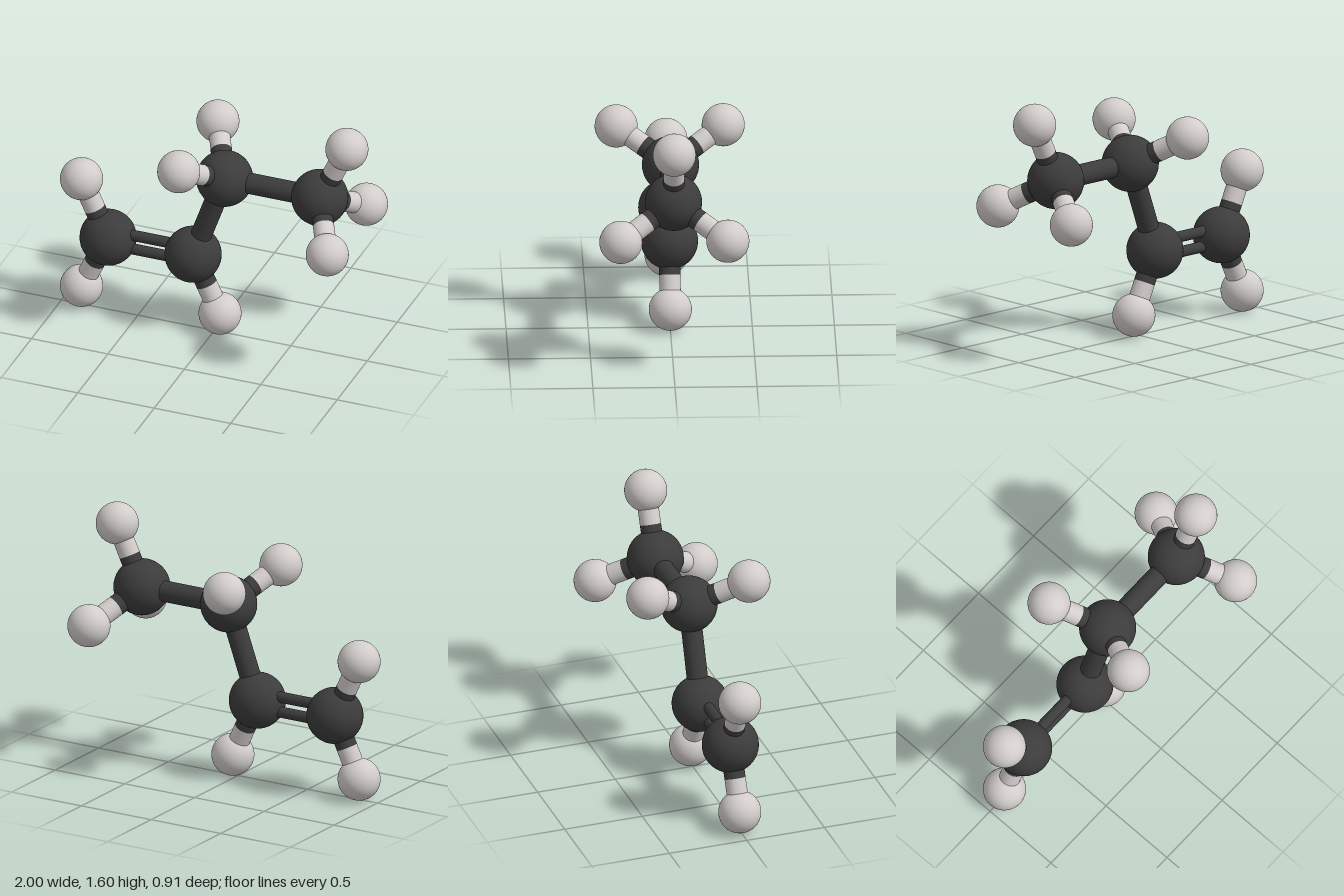
import * as THREE from 'three';

const carbonMat = new THREE.MeshStandardMaterial({ color: 0x3c3c3c });
carbonMat.name = 'charcoal';
const hydrogenMat = new THREE.MeshStandardMaterial({ color: 0xd2cdcb });
hydrogenMat.name = 'pale grey';

const CARBON_R = 0.174, HYDROGEN_R = 0.131, BOND_R = 0.065;
const DOUBLE_R = 0.034, DOUBLE_OFFSET = 0.048;
const UP = new THREE.Vector3(0, 1, 0);
const v = (x, y, z = 0) => new THREE.Vector3(x, y, z);

function atom(name, position, radius, material) {
  const mesh = new THREE.Mesh(new THREE.SphereGeometry(radius, 48, 32), material);
  mesh.name = name;
  mesh.position.copy(position);
  return mesh;
}

// Cylinder running from a to b
function rod(name, a, b, radius, material) {
  const dir = b.clone().sub(a);
  const mesh = new THREE.Mesh(new THREE.CylinderGeometry(radius, radius, dir.length(), 32), material);
  mesh.name = name;
  mesh.position.copy(a).lerp(b, 0.5);
  mesh.quaternion.setFromUnitVectors(UP, dir.normalize());
  return mesh;
}

export function createModel() {
  const model = new THREE.Group();
  model.name = 'moleculeModel';

  // Carbon chain, each carbon with the hydrogens it carries
  const chain = [
    { at: v(-0.695, 0.511), hydrogens: [v(-0.869, 0.887), v(-0.869, 0.133)] },
    { at: v(-0.139, 0.511), hydrogens: [v(0.037, 0.133)] },
    { at: v(0.067, 1.092), hydrogens: [v(-0.105, 1.281, 0.326), v(-0.105, 1.281, -0.326)] },
    { at: v(0.69, 1.092), hydrogens: [v(0.867, 1.47), v(0.867, 0.903, 0.326), v(0.867, 0.903, -0.326)] },
  ];

  chain.forEach(({ at, hydrogens }, i) => {
    const unit = new THREE.Group();
    unit.name = `carbonUnit${i + 1}`;
    unit.add(atom('carbonAtom', at, CARBON_R, carbonMat));
    // Bonds to hydrogen change colour halfway
    for (const h of hydrogens) {
      const mid = at.clone().lerp(h, 0.5);
      unit.add(
        atom('hydrogenAtom', h, HYDROGEN_R, hydrogenMat),
        rod('bondCarbonHalf', at, mid, BOND_R, carbonMat),
        rod('bondHydrogenHalf', mid, h, BOND_R, hydrogenMat),
      );
    }
    model.add(unit);
  });

  // Double bond: two thin rods, one above the other
  const [c1, c2, c3, c4] = chain.map((c) => c.at);
  for (const side of [1, -1]) {
    const shift = v(0, side * DOUBLE_OFFSET);
    model.add(rod('doubleBondRod', c1.clone().add(shift), c2.clone().add(shift), DOUBLE_R, carbonMat));
  }

  // Single bonds along the chain
  model.add(rod('singleBond', c2, c3, BOND_R, carbonMat), rod('singleBond', c3, c4, BOND_R, carbonMat));
  return model;
}
